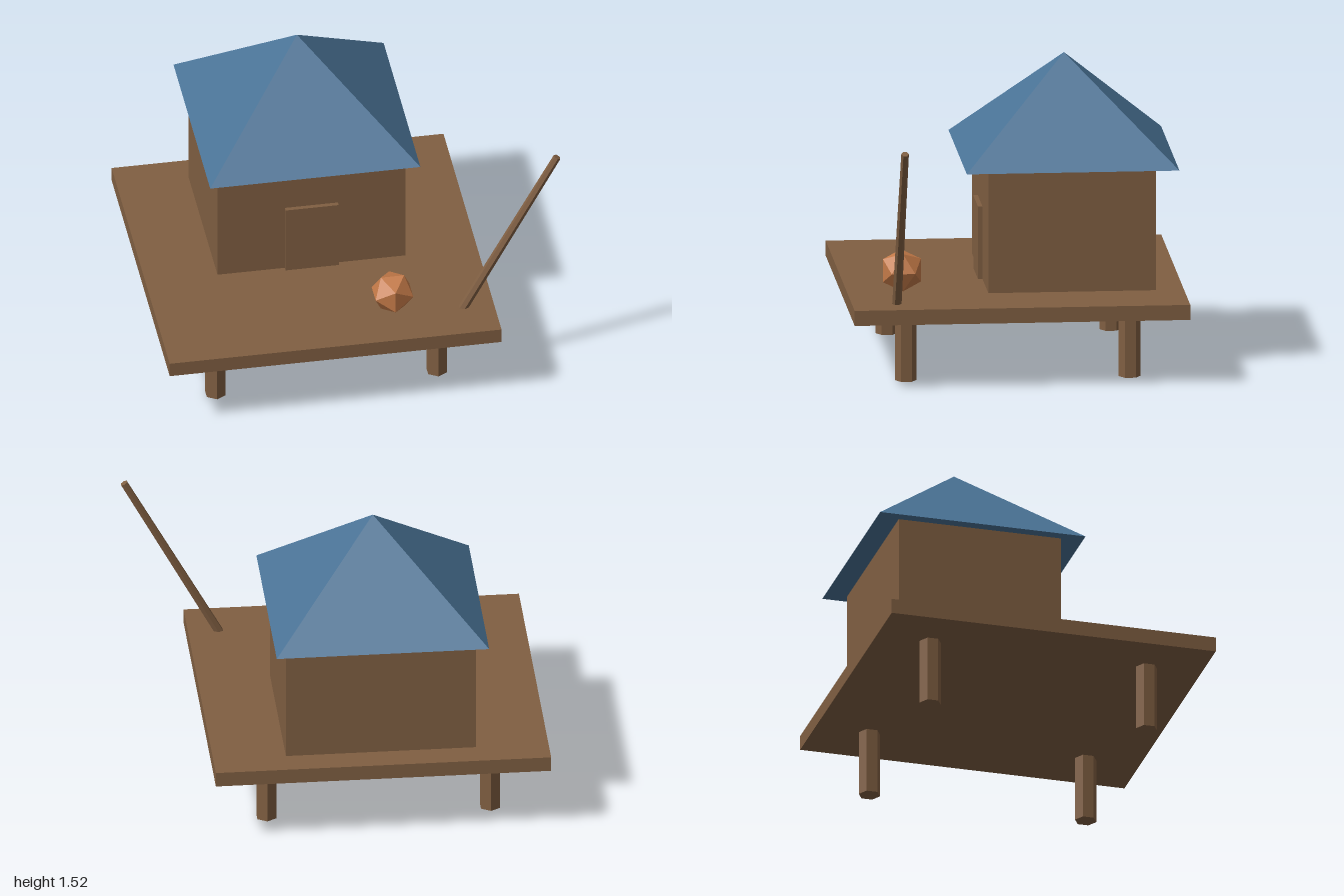
import * as THREE from 'three';

export function createModel() {
  const model = new THREE.Group();
  const paint = (name, color) => {
    const m = new THREE.MeshStandardMaterial({ color, flatShading: true });
    m.name = name;
    return m;
  };
  const wood = paint('brown wood', 0x805f42);
  const slate = paint('blue roof', 0x4a7396);
  const copper = paint('orange ball', 0xc47a48);

  const add = (name, geometry, material, x, y, z) => {
    const mesh = new THREE.Mesh(geometry, material);
    mesh.name = name;
    mesh.position.set(x, y, z);
    model.add(mesh);
    return mesh;
  };

  const cx = -0.167, houseZ = -0.278;   // shared centre lines
  const deckBottom = 0.337, deckTop = 0.413, wallTop = 1.028, roofTop = 1.525;

  // Platform on four hexagonal posts
  add('deck', new THREE.BoxGeometry(1.667, deckTop - deckBottom, 1.667), wood,
    cx, (deckTop + deckBottom) / 2, 0);
  for (const sx of [-1, 1]) for (const sz of [-1, 1]) {
    add('post', new THREE.CylinderGeometry(0.0545, 0.0545, deckBottom, 6), wood,
      cx + sx * 0.556, deckBottom / 2, sz * 0.556);
  }

  // Hut with a door and a pyramid roof
  add('walls', new THREE.BoxGeometry(0.944, wallTop - deckTop, 0.833), wood,
    cx, (wallTop + deckTop) / 2, houseZ);
  add('door', new THREE.BoxGeometry(0.267, 0.367, 0.044), wood, cx, deckTop + 0.1835, 0.139);
  const roof = new THREE.ConeGeometry(0.528 * Math.SQRT2, roofTop - wallTop, 4).rotateY(Math.PI / 4);
  add('roof', roof, slate, cx, (roofTop + wallTop) / 2, houseZ);

  // Faceted ball resting on the deck
  add('ball', new THREE.IcosahedronGeometry(0.111, 0), copper, 0.167, 0.507, 0.556);

  // Leaning tapered pole
  const pole = add('pole', new THREE.CylinderGeometry(0.019, 0.0235, 1, 6), wood, 0.745, 0.832, 0.611);
  pole.rotation.z = -0.5;

  return model;
}
